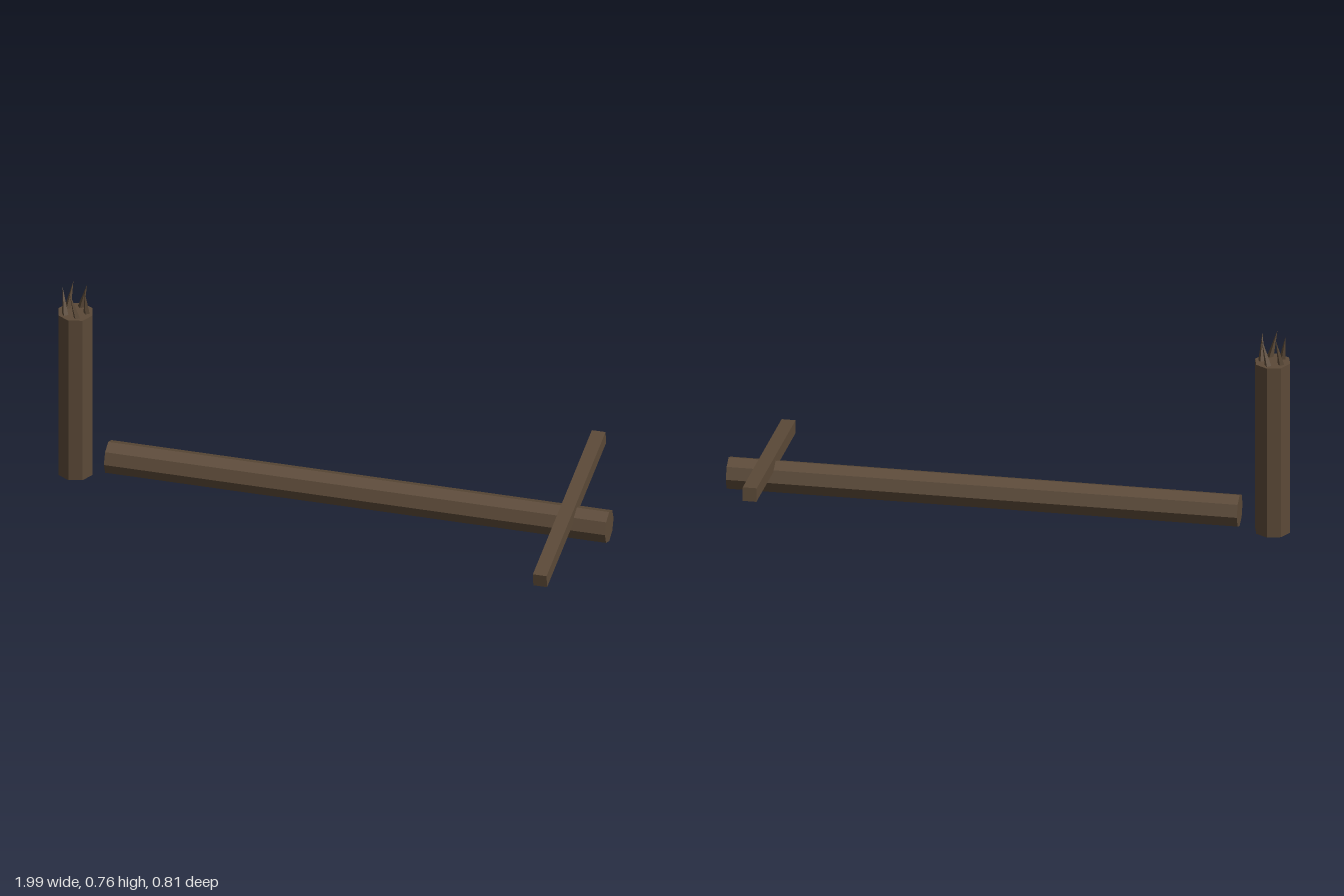
import * as THREE from 'three';

export function createModel() {
  const model = new THREE.Group();
  model.name = 'brokenPole';
  const wood = new THREE.MeshStandardMaterial({ color: 0x5c4a38, flatShading: true });
  wood.name = 'dark wood';

  const add = (parent, name, geometry) => {
    const mesh = new THREE.Mesh(geometry, wood);
    mesh.name = name;
    parent.add(mesh);
    return mesh;
  };

  // Standing stump
  const stump = new THREE.Group();
  stump.name = 'stump';
  stump.position.set(-0.935, 0, 0.255);
  model.add(stump);
  add(stump, 'stumpPost', new THREE.CylinderGeometry(0.065, 0.065, 0.66, 8)).position.y = 0.33;

  // Ring of five leaning splinters on the broken top
  const up = new THREE.Vector3(0, 1, 0);
  const ringPoint = (radius, degrees, y) => {
    const a = THREE.MathUtils.degToRad(degrees);
    return new THREE.Vector3(-radius * Math.sin(a), y, radius * Math.cos(a));
  };
  for (let i = 0; i < 5; i++) {
    const base = ringPoint(0.04, i * 72 - 30, 0.658);
    const tip = ringPoint(0.046, i * 72 + 4, 0.76);
    const lean = tip.clone().sub(base);
    const splinter = add(stump, 'splinter', new THREE.ConeGeometry(0.012, lean.length(), 4));
    splinter.position.copy(base).add(tip).multiplyScalar(0.5);
    splinter.quaternion.setFromUnitVectors(up, lean.normalize());
  }

  // Fallen pole lying along its own x axis
  const fallen = new THREE.Group();
  fallen.name = 'fallenPole';
  fallen.position.set(0.082, 0.0725, 0.099);
  fallen.rotation.y = 0.14;
  model.add(fallen);
  const log = add(fallen, 'fallenLog', new THREE.CylinderGeometry(0.06, 0.06, 1.826, 8));
  log.rotation.z = Math.PI / 2;

  // Tilted crossbar near the far end
  const bar = add(fallen, 'crossbar', new THREE.BoxGeometry(0.05, 0.05, 0.815));
  bar.position.set(0.77, 0.0555, 0.007);
  bar.rotation.x = 0.142;

  return model;
}
